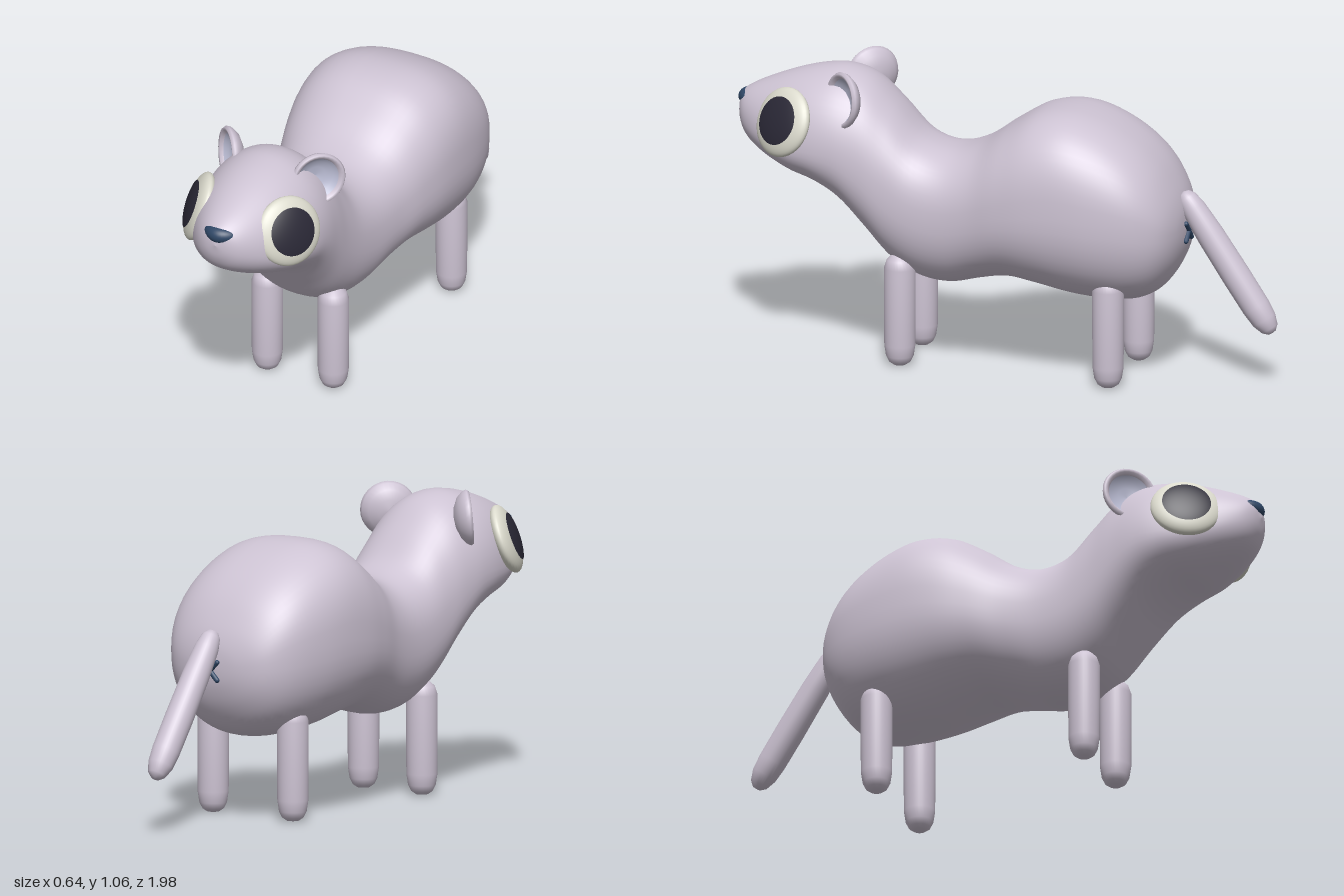
import * as THREE from 'three';

const mat = (name, color) => Object.assign(new THREE.MeshStandardMaterial({ color }), { name });

// Body cross-sections from snout to rump:
// z, top y, bottom y, half width, y of the widest point, roundness above
const SECTIONS = [
  [0.995, 0.87, 0.87, 0, 0.87, 2],
  [0.983, 0.92, 0.81, 0.052, 0.86, 2],
  [0.95, 0.948, 0.757, 0.098, 0.84, 2],
  [0.88, 0.982, 0.71, 0.152, 0.81, 2],
  [0.78, 1.02, 0.665, 0.204, 0.785, 2],
  [0.68, 1.045, 0.63, 0.23, 0.78, 2],
  [0.59, 1.05, 0.57, 0.236, 0.77, 2],
  [0.5, 1.018, 0.47, 0.23, 0.72, 2.1],
  [0.41, 0.935, 0.37, 0.224, 0.64, 2.2],
  [0.31, 0.83, 0.314, 0.225, 0.58, 2.3],
  [0.2, 0.795, 0.3, 0.234, 0.56, 2.4],
  [0.09, 0.825, 0.325, 0.254, 0.58, 2.4],
  [-0.02, 0.9, 0.345, 0.287, 0.61, 2.5],
  [-0.13, 0.962, 0.33, 0.311, 0.63, 2.6],
  [-0.25, 0.975, 0.306, 0.32, 0.64, 2.7],
  [-0.37, 0.943, 0.295, 0.314, 0.63, 2.6],
  [-0.48, 0.88, 0.3, 0.291, 0.62, 2.5],
  [-0.56, 0.805, 0.337, 0.252, 0.6, 2.4],
  [-0.615, 0.72, 0.41, 0.195, 0.58, 2.2],
  [-0.645, 0.645, 0.49, 0.11, 0.57, 2],
  [-0.655, 0.57, 0.57, 0, 0.57, 2],
];

function bodyGeometry(rings = 100, sides = 56) {
  const spline = (f) => new THREE.CatmullRomCurve3(SECTIONS.map(f), false, 'catmullrom', 0.5);
  const outline = spline((s) => new THREE.Vector3(s[0], s[1], s[2]));
  const shape = spline((s) => new THREE.Vector3(s[3], s[4], s[5]));
  const pos = [], index = [];
  for (let i = 0; i <= rings; i++) {
    const { x: z, y: top, z: bottom } = outline.getPoint(i / rings);
    const { x: w, y: mid, z: nTop } = shape.getPoint(i / rings);
    for (let j = 0; j < sides; j++) {
      const a = (j / sides) * Math.PI * 2, c = Math.cos(a), s = Math.sin(a);
      const p = 2 / (s > 0 ? nTop : 2.25);
      const x = Math.sign(c) * Math.abs(c) ** p * Math.max(w, 0);
      const y = mid + Math.abs(s) ** p * (s > 0 ? top - mid : bottom - mid);
      pos.push(x, y, z);
      if (i < rings) {
        const k = (j + 1) % sides, r = i * sides, q = r + sides;
        index.push(r + j, q + j, r + k, r + k, q + j, q + k);
      }
    }
  }
  const g = new THREE.BufferGeometry();
  g.setAttribute('position', new THREE.Float32BufferAttribute(pos, 3));
  g.setIndex(index);
  g.computeVertexNormals();
  return g;
}

const lathe = (pts, segments = 32) =>
  new THREE.LatheGeometry(pts.map(([x, y]) => new THREE.Vector2(x, y)), segments);

export function createModel() {
  const fur = mat('fur', 0xcdc3d3);
  const eyeWhite = mat('eyeWhite', 0xdbdacd);
  const pupilDark = mat('pupilDark', 0x2a2836);
  const noseBlue = mat('noseBlue', 0x2f4766);
  const earInside = mat('earInside', 0xb9bbd2);

  const model = new THREE.Group();
  model.name = 'animal';
  const UP = new THREE.Vector3(0, 1, 0);
  const add = (name, geo, material, parent = model) => {
    const m = new THREE.Mesh(geo, material);
    m.name = name;
    parent.add(m);
    return m;
  };
  // Group whose +y axis points along a direction
  const aimed = (name, position, direction) => {
    const g = new THREE.Group();
    g.name = name;
    g.position.set(...position);
    g.quaternion.setFromUnitVectors(UP, new THREE.Vector3(...direction).normalize());
    model.add(g);
    return g;
  };

  add('body', bodyGeometry(), fur);

  // Shared parts for both sides
  const legGeo = lathe([[0, 0.004], [0.022, 0.007], [0.038, 0.018], [0.049, 0.04],
    [0.055, 0.08], [0.056, 0.2], [0.056, 0.36], [0.046, 0.39], [0.025, 0.41], [0, 0.416]]);
  const eyeGeo = new THREE.SphereGeometry(1, 40, 24);
  const pupilGeo = new THREE.SphereGeometry(1, 40, 10, 0, Math.PI * 2, 0, 0.75);
  const earGeo = lathe([[0, -0.04], [0.04, -0.036], [0.075, -0.022], [0.095, -0.002],
    [0.1, 0.012], [0.094, 0.022], [0.084, 0.02], [0.076, 0.008]]);
  const earDishGeo = lathe([[0.076, 0.008], [0.06, -0.006], [0.035, -0.016], [0, -0.02]]);

  for (const [side, s] of [['left', 1], ['right', -1]]) {
    add(side + 'FrontLeg', legGeo, fur).position.set(s * 0.132, 0, 0.367);
    add(side + 'RearLeg', legGeo, fur).position.set(s * 0.18, 0, -0.415);

    // Flattened eyeball with a pupil cap
    const eye = aimed(side + 'Eye', [s * 0.178, 0.87, 0.782], [s * 0.81, 0.34, 0.48]);
    add(side + 'Eyeball', eyeGeo, eyeWhite, eye).scale.set(0.125, 0.042, 0.125);
    add(side + 'Pupil', pupilGeo, pupilDark, eye).scale.set(0.127, 0.045, 0.127);

    // Cupped ear opening forward and outward
    const ear = aimed(side + 'Ear', [s * 0.172, 0.968, 0.558], [s * 0.72, 0.08, 0.68]);
    add(side + 'EarShell', earGeo, fur, ear);
    add(side + 'EarInside', earDishGeo, earInside, ear);
  }

  // Nose: wide above, narrower below, wrapped around the snout
  const noseGeo = new THREE.SphereGeometry(1, 32, 20);
  const p = noseGeo.attributes.position;
  for (let i = 0; i < p.count; i++) {
    const y = p.getY(i);
    const x = p.getX(i) * 0.068 * (1 + 0.22 * Math.min(y, 0));
    p.setXYZ(i, x, y * 0.03, p.getZ(i) * 0.032 - x * x * 5);
  }
  noseGeo.computeVertexNormals();
  add('nose', noseGeo, noseBlue).position.set(0, 0.902, 0.968);

  // Tail, slimmer at the root and rounded at the tip
  const tail = aimed('tail', [0, 0.69, -0.635], [0, -0.49, -0.33]);
  add('tailShape', lathe([[0, 0], [0.02, 0.006], [0.034, 0.025], [0.043, 0.07], [0.049, 0.18],
    [0.051, 0.35], [0.05, 0.48], [0.045, 0.535], [0.032, 0.572], [0.015, 0.588], [0, 0.59]]), fur, tail);

  // Small crossed mark under the tail
  const mark = new THREE.Group();
  mark.name = 'rumpMark';
  mark.position.set(0, 0.55, -0.656);
  model.add(mark);
  for (const angle of [-Math.PI / 4, Math.PI / 4]) {
    add('markBar', new THREE.CapsuleGeometry(0.009, 0.09, 4, 10), noseBlue, mark).rotation.z = angle;
  }

  return model;
}
